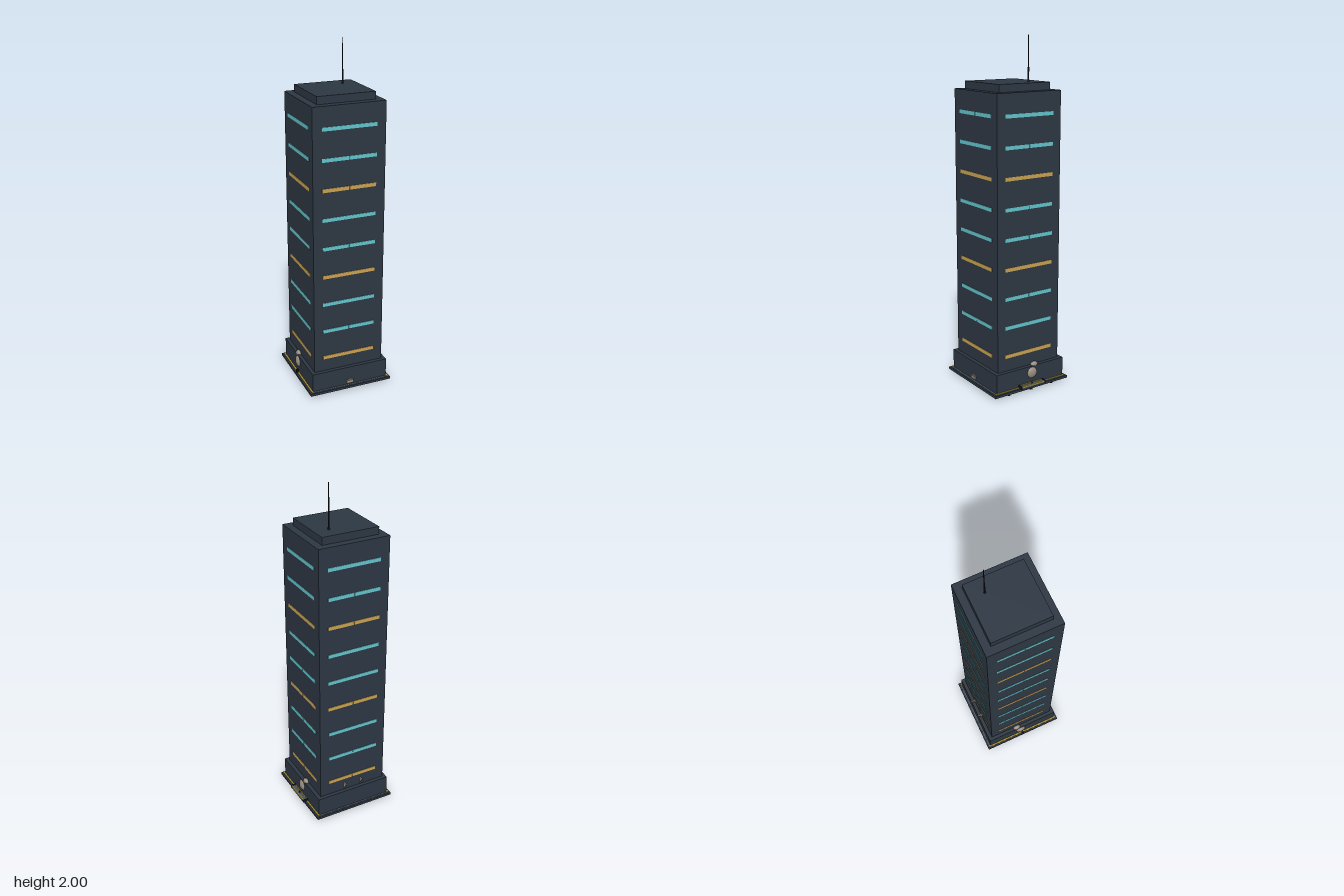
import * as THREE from 'three';

const mat = (name, color) => {
  const m = new THREE.MeshStandardMaterial({ color });
  m.name = name;
  return m;
};

export function createModel() {
  const wall = mat('slate wall', 0x2d3743);
  const teal = mat('teal light', 0x62c4cc);
  const amber = mat('amber light', 0xcaa250);
  const yellow = mat('yellow paint', 0xb2962f);
  const pavement = mat('grey pavement', 0x4a555f);
  const stone = mat('tan stone', 0x9a8f82);
  const dark = mat('dark metal', 0x15191e);

  const model = new THREE.Group();
  model.name = 'tower';
  const add = (name, geometry, material, x, y, z, parent = model) => {
    const m = new THREE.Mesh(geometry, material);
    m.name = name;
    m.position.set(x, y, z);
    parent.add(m);
    return m;
  };
  // Box given by its limits on each axis
  const box = (name, material, [x0, x1], [y0, y1], [z0, z1]) =>
    add(name, new THREE.BoxGeometry(x1 - x0, y1 - y0, z1 - z0), material,
      (x0 + x1) / 2, (y0 + y1) / 2, (z0 + z1) / 2);

  // Stacked masses
  box('baseSlab', wall, [-0.26, 0.247], [0.012, 0.026], [-0.255, 0.253]);
  box('podium', wall, [-0.24, 0.228], [0.026, 0.14], [-0.235, 0.232]);
  box('shaft', wall, [-0.22, 0.205], [0.14, 1.705], [-0.213, 0.21]);
  box('roofCap', wall, [-0.177, 0.162], [1.705, 1.748], [-0.17, 0.167]);

  // Rails under the slab
  for (const z of [-0.15, 0, 0.15])
    box('underRail', dark, [-0.245, 0.235], [0, 0.012], [z - 0.006, z + 0.006]);

  // Pavement and yellow kerb lines
  box('pavementPlate', pavement, [-0.25, 0.237], [0.026, 0.028], [-0.245, 0.244]);
  for (const x of [-0.244, 0.231])
    box('kerbLine', yellow, [x - 0.006, x + 0.006], [0.028, 0.031], [-0.243, 0.242]);

  // Window bands: two panes per side on nine floors, every third floor amber
  for (let floor = 0; floor < 9; floor++) {
    const material = floor % 3 === 0 ? amber : teal;
    const y = 0.226 + floor * 0.1695;
    for (let side = 0; side < 4; side++) {
      const band = new THREE.Group();
      band.name = 'windowBand';
      band.position.set(-0.0075, y, -0.0015);
      band.rotation.y = side * Math.PI / 2;
      for (const s of [-1, 1])
        add('windowPane', new THREE.BoxGeometry(0.158, 0.021, 0.005), material,
          s * 0.0797, 0, 0.2117, band);
      model.add(band);
    }
  }

  // Roof antenna
  add('antennaBase', new THREE.CylinderGeometry(0.006, 0.006, 0.012, 10), dark, 0.077, 1.754, -0.085);
  add('antennaLower', new THREE.CylinderGeometry(0.0045, 0.0045, 0.08, 8), dark, 0.077, 1.788, -0.085);
  add('antennaUpper', new THREE.CylinderGeometry(0.0025, 0.0035, 0.18, 8), dark, 0.077, 1.91, -0.085);

  // Side platform with yellow edges and end bars
  box('platform', pavement, [0.226, 0.258], [0.026, 0.04], [-0.083, 0.081]);
  for (const x of [0.231, 0.2565])
    box('platformEdge', yellow, [x - 0.0025, x + 0.0025], [0.036, 0.043], [-0.079, 0.077]);
  for (const z of [-0.083, 0.08])
    box('platformEndBar', dark, [0.228, 0.26], [0.026, 0.045], [z - 0.003, z + 0.003]);
  add('platformPost', new THREE.CylinderGeometry(0.004, 0.004, 0.05, 8), dark, 0.242, 0.028, -0.002);

  // Stone ornaments on both flanks
  const flank = (s, x) => {
    const g = new THREE.Group();
    g.name = 'stoneOrnament';
    g.position.x = x;
    const body = new THREE.SphereGeometry(1, 12, 8);
    add('ornamentBody', body, stone, 0, 0.1, -0.012, g).scale.set(0.017, 0.034, 0.034);
    add('ornamentHead', body, stone, -s * 0.011, 0.14, -0.036, g).scale.set(0.015, 0.017, 0.025);
    model.add(g);
  };
  flank(1, 0.225);
  flank(-1, -0.238);
  box('kerbPost', dark, [-0.256, -0.244], [0.026, 0.05], [-0.008, 0.004]);

  // Front plaque
  box('frontPlaque', stone, [-0.028, 0.012], [0.038, 0.056], [0.231, 0.242]);
  box('plaqueCap', stone, [-0.02, 0.004], [0.056, 0.062], [0.231, 0.239]);

  // Back fins: triangular brackets wider at the top
  const fin = new THREE.Shape();
  fin.moveTo(-0.21, 0.145);
  fin.lineTo(-0.21, 0.188);
  fin.lineTo(-0.243, 0.192);
  fin.closePath();
  const finGeometry = new THREE.ExtrudeGeometry(fin, { depth: 0.008, bevelEnabled: false });
  finGeometry.rotateY(-Math.PI / 2);
  for (const x of [-0.058, 0.05]) add('backFin', finGeometry, stone, x, 0, 0);

  return model;
}
